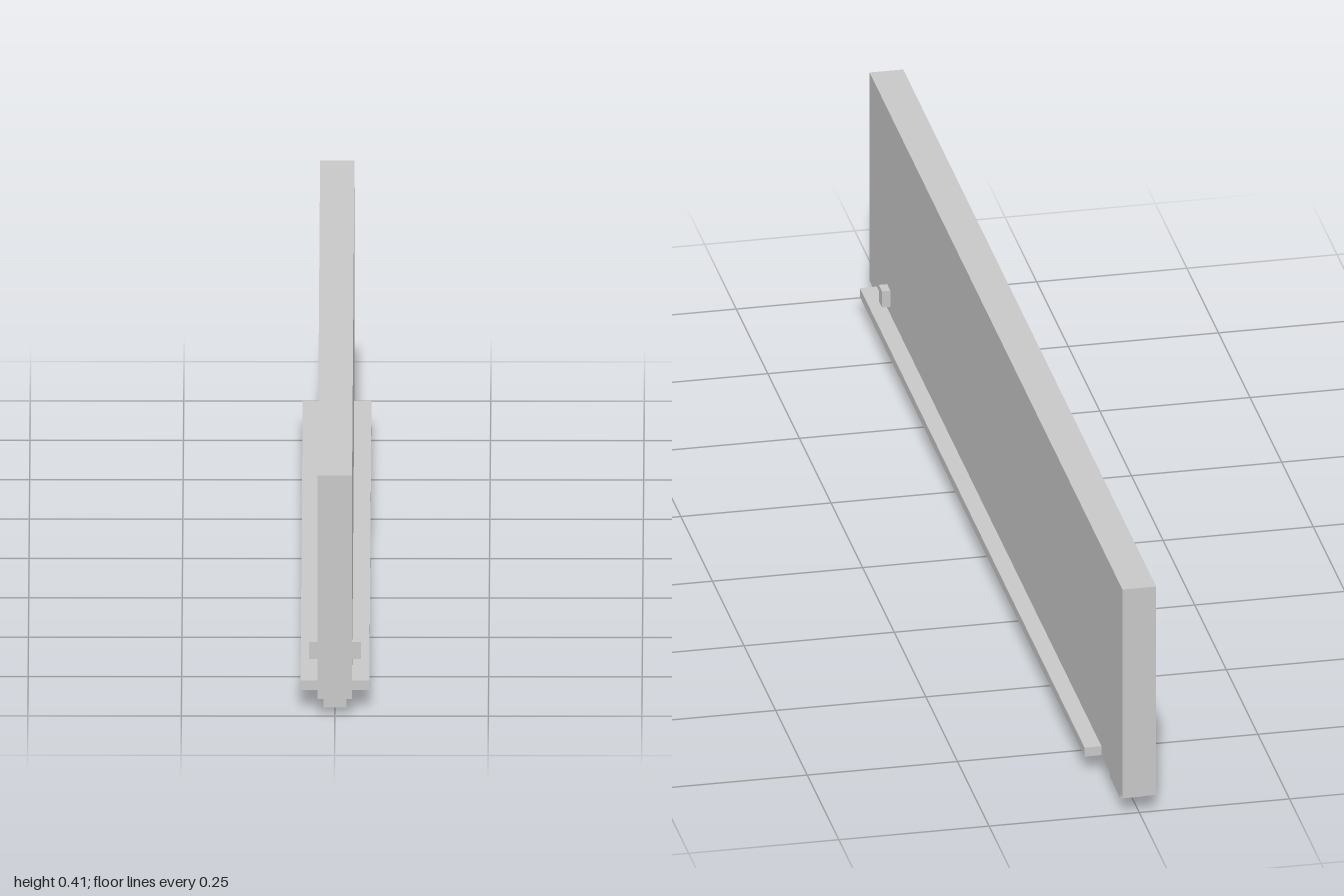
import * as THREE from 'three';

export function createModel() {
  const model = new THREE.Group();
  const grey = new THREE.MeshStandardMaterial({ color: 0xc7c7c7 });
  grey.name = 'lightGrey';

  // Box given by its lower and upper limits on each axis
  function block(name, [x0, x1], [y0, y1], [z0, z1]) {
    const mesh = new THREE.Mesh(new THREE.BoxGeometry(x1 - x0, y1 - y0, z1 - z0), grey);
    mesh.name = name;
    mesh.position.set((x0 + x1) / 2, (y0 + y1) / 2, (z0 + z1) / 2);
    model.add(mesh);
  }

  const half = 0.028; // half thickness of the panel
  const base = 0.029; // underside of the panel

  // Tall upright panel
  block('panel', [-half, half], [base, 0.405], [-1, 1]);

  // Feet under both ends
  block('frontFoot', [-0.019, 0.019], [0, base], [0.862, 0.944]);
  block('backFoot', [-0.019, 0.019], [0, base], [-0.942, -0.86]);

  // Bottom rail and small peg on each side
  for (const [side, s] of [['left', 1], ['right', -1]]) {
    const out = (d) => (s > 0 ? [half, half + d] : [-half - d, -half]);
    block(side + 'Rail', out(0.028), [base, 0.045], [-0.834, 0.944]);
    block(side + 'Peg', out(0.014), [0.059, 0.088], [0.836, 0.861]);
  }

  return model;
}
